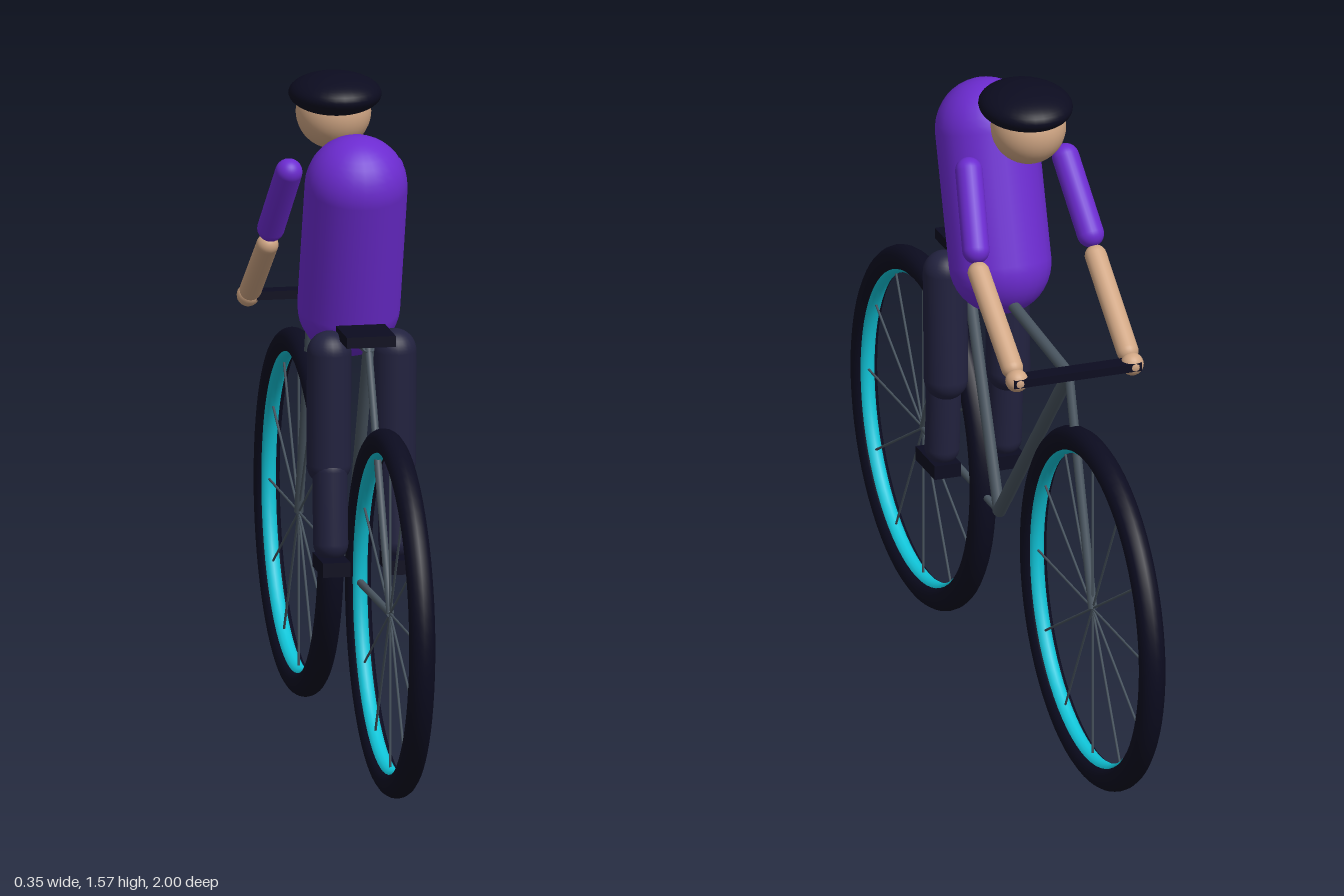
import * as THREE from 'three';

const mat = (name, color, side = THREE.FrontSide) => {
  const m = new THREE.MeshStandardMaterial({ color, side });
  m.name = name;
  return m;
};

export function createModel() {
  const group = new THREE.Group();
  const black = mat('black rubber', 0x0c0c20);
  const cyan = mat('cyan rim', 0x10c4d8);
  const steel = mat('grey steel', 0x4a5661);
  const purple = mat('purple jersey', 0x6c2bd0);
  const navy = mat('navy trousers', 0x22223f);
  const skin = mat('skin', 0xd0a684);

  const V = (x, y, z) => new THREE.Vector3(x, y, z);
  const add = (name, geo, material, pos = V(0, 0, 0), parent = group) => {
    const m = new THREE.Mesh(geo, material);
    m.name = name;
    m.position.copy(pos);
    parent.add(m);
    return m;
  };
  // Place a y-aligned geometry between two points
  const span = (name, geo, material, a, b) => {
    const m = add(name, geo, material, a.clone().add(b).multiplyScalar(0.5));
    m.quaternion.setFromUnitVectors(V(0, 1, 0), b.clone().sub(a).normalize());
    return m;
  };
  const tube = (name, a, b, r) =>
    span(name, new THREE.CylinderGeometry(r, r, a.distanceTo(b), 12), steel, a, b);
  const limb = (name, material, a, b, r) =>
    span(name, new THREE.CapsuleGeometry(r, a.distanceTo(b), 10, 24), material, a, b);

  // Wheels
  const wheel = (name, z) => {
    const w = new THREE.Group();
    w.name = name;
    w.position.set(0, 0.432, z);
    w.rotation.y = Math.PI / 2;
    add('tire', new THREE.TorusGeometry(0.4, 0.031, 16, 72), black, undefined, w);
    add('rim', new THREE.TorusGeometry(0.385, 0.02, 12, 72), cyan, undefined, w);
    for (let i = 0; i < 6; i++) {
      const s = add('spoke', new THREE.CylinderGeometry(0.003, 0.003, 0.74, 6), steel, undefined, w);
      s.rotation.z = (i * Math.PI) / 6;
    }
    group.add(w);
  };
  wheel('rearWheel', 0.569);
  wheel('frontWheel', -0.569);

  // Frame
  const rearHub = V(0, 0.432, 0.569), frontHub = V(0, 0.432, -0.569);
  const crank = V(0, 0.425, 0.06), seat = V(0, 1.005, 0.3), head = V(0, 0.96, -0.41);
  tube('topTube', seat, head, 0.014);
  tube('downTube', head, crank, 0.016);
  tube('seatTube', crank, seat, 0.014);
  tube('chainStay', rearHub, crank, 0.009);
  tube('seatStay', rearHub, seat, 0.009);
  tube('fork', head, frontHub, 0.011);

  // Saddle and handlebar
  add('saddle', new THREE.BoxGeometry(0.116, 0.026, 0.135), black, V(0, 1.027, 0.267));
  add('handlebar', new THREE.BoxGeometry(0.316, 0.02, 0.044), black, V(0, 0.98, -0.45));

  // Torso, head and helmet
  limb('torso', purple, V(0, 1.057, 0.053), V(0, 1.36, 0.146), 0.12);
  add('head', new THREE.SphereGeometry(0.088, 32, 24), skin, V(0, 1.478, -0.137));
  add('helmet', new THREE.SphereGeometry(1, 32, 24), black, V(0, 1.525, -0.118))
    .scale.set(0.108, 0.048, 0.127);

  // Arms and legs, mirrored
  for (const [side, s] of [['left', 1], ['right', -1]]) {
    limb(side + 'UpperArm', purple, V(s * 0.12, 1.353, -0.062), V(s * 0.142, 1.198, -0.169), 0.032);
    limb(side + 'Forearm', skin, V(s * 0.145, 1.153, -0.197), V(s * 0.143, 1.0, -0.415), 0.026);
    add(side + 'Hand', new THREE.SphereGeometry(0.027, 20, 14), skin, V(s * 0.143, 0.98, -0.447));
    limb(side + 'Thigh', navy, V(s * 0.077, 0.98, 0.215), V(s * 0.077, 0.715, 0.208), 0.052);
    limb(side + 'Shin', navy, V(s * 0.077, 0.7, 0.222), V(s * 0.077, 0.53, 0.234), 0.041);
    add(side + 'Shoe', new THREE.BoxGeometry(0.065, 0.034, 0.13), black, V(s * 0.079, 0.485, 0.255));
  }
  return group;
}
